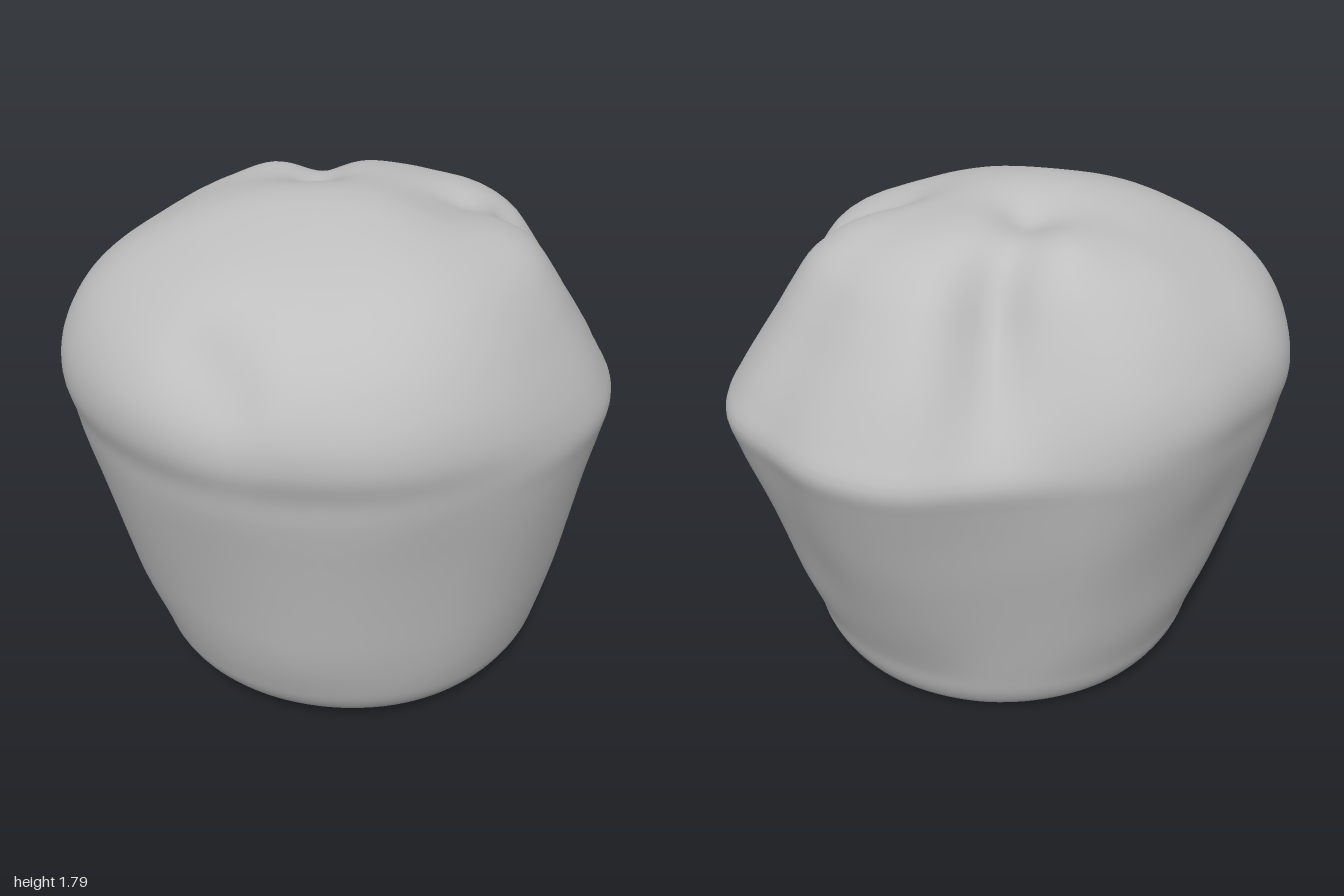
import * as THREE from 'three';
import { mergeVertices } from 'three/addons/utils/BufferGeometryUtils.js';

const SIDES = 120, RINGS = 76;
const gauss = (d, w) => Math.exp(-(d * d) / (w * w));

// Values spaced evenly around the axis, +x first, turning towards +z
function around(values) {
  const curve = new THREE.CatmullRomCurve3(
    values.map((v) => new THREE.Vector3(v, 0, 0)), true, 'catmullrom', 0.5);
  return (t) => curve.getPoint(t % 1).x;
}

// Widest outline, every 15 degrees
const rimRadius = around([
  0.99, 1.015, 0.985, 0.935, 0.94, 0.945, 0.94, 0.945, 0.955, 0.975, 0.985, 1.0,
  1.0, 1.005, 1.01, 1.005, 0.995, 0.955, 0.945, 0.93, 0.89, 0.91, 0.99, 1.01]);
// Foot radius and fullness of the crown, every 45 degrees
const footRadius = around([0.71, 0.76, 0.77, 0.81, 0.81, 0.76, 0.72, 0.69]);
const fullness = around([-0.08, -0.1, -0.03, 0.07, 0.075, 0.07, 0.045, -0.07]);

const FOOT = [[0, 0.02], [0.35, 0.015], [0.65, 0.005], [0.8, 0.005], [0.9, 0.035], [0.96, 0.1], [1, 0.2]];
const WALL = [[0.26, 0.4], [0.48, 0.6], [0.7, 0.8], [0.92, 1.0], [1, 1.1]];
const CROWN = [[0.99, 1.2], [0.955, 1.3], [0.9, 1.4], [0.83, 1.5], [0.72, 1.61],
  [0.53, 1.705], [0.3, 1.755], [0.12, 1.765], [0, 1.765]];

// Swellings of the crown: x, z, height, width
const LOBES = [
  [-0.2, -0.05, 0.025, 0.3], [0.22, -0.48, 0.045, 0.2], [0.2, 0.55, 0.01, 0.18],
  [0.2, 0.34, -0.045, 0.2], [0.75, -0.4, 0.02, 0.2], [-0.5, 0.35, -0.01, 0.2],
  [-0.85, 0.2, -0.015, 0.15], [0.05, -0.2, -0.03, 0.14], [-0.35, -0.65, -0.015, 0.2]];
// Folds of the crown: start x, z, end x, z, depth, width
const FOLDS = [
  [0.12, -0.28, 0.42, -0.46, 0.05, 0.11], [0.42, -0.46, 0.58, -0.62, 0.045, 0.12],
  [0.46, 0.4, 0.56, 0.54, 0.035, 0.07], [0.3, 0.3, 0.46, 0.4, 0.02, 0.09],
  [-0.9, 0.12, -0.92, 0.32, 0.02, 0.07]];

function foldDistance(x, z, [ax, az, bx, bz]) {
  const dx = bx - ax, dz = bz - az;
  const t = THREE.MathUtils.clamp(((x - ax) * dx + (z - az) * dz) / (dx * dx + dz * dz), 0, 1);
  return Math.hypot(x - ax - dx * t, z - az - dz * t);
}

// Push a point in or out to form the lobes, folds and uneven walls
function sculpt(p) {
  const crown = THREE.MathUtils.smoothstep(p.y, 1.08, 1.4);
  const wall = THREE.MathUtils.smoothstep(p.y, 0.1, 0.4) * (1 - THREE.MathUtils.smoothstep(p.y, 0.8, 1.1));
  let push = 0;
  for (const [x, z, h, w] of LOBES) push += crown * h * gauss(Math.hypot(p.x - x, p.z - z), w);
  for (const f of FOLDS) push -= crown * f[4] * gauss(foldDistance(p.x, p.z, f), f[5]);
  push += 0.006 * crown * Math.sin(9 * p.x + 2) * Math.sin(8 * p.z + 4 * p.y);
  push += 0.006 * wall * Math.sin(7 * p.x + 3 * p.y) * Math.sin(6 * p.z - 4 * p.y);
  const out = new THREE.Vector3(p.x, Math.max(p.y - 0.9, 0), p.z);
  if (out.lengthSq() > 1e-6) p.addScaledVector(out.normalize(), push);
  // The underside leans slightly
  p.y += Math.max(0.02 - 0.045 * p.x, 0) * (1 - THREE.MathUtils.smoothstep(p.y, 0.05, 0.45));
  return p;
}

// Profile from the centre of the underside to the top of the crown
function profileAt(t) {
  const rim = rimRadius(t), foot = footRadius(t), full = fullness(t);
  const swell = (y) => full * Math.sin(Math.PI * THREE.MathUtils.clamp((y - 1.1) / 0.665, 0, 1));
  const points = [
    ...FOOT.map(([k, y]) => [foot * k, y]),
    ...WALL.map(([k, y]) => [foot + (rim - foot) * k, y]),
    ...CROWN.map(([k, y]) => [rim * (k + swell(y)), y]),
  ];
  return new THREE.CatmullRomCurve3(points.map(([r, y]) => new THREE.Vector3(r, y, 0)), false, 'centripetal');
}

function muffinGeometry() {
  const positions = [], index = [];
  for (let j = 0; j < SIDES; j++) {
    const a = (j / SIDES) * Math.PI * 2;
    const profile = profileAt(j / SIDES);
    for (let i = 0; i <= RINGS; i++) {
      const q = profile.getPoint(i / RINGS);
      const r = i === 0 || i === RINGS ? 0 : Math.max(q.x, 0);
      const p = sculpt(new THREE.Vector3(r * Math.cos(a), q.y, r * Math.sin(a)));
      positions.push(p.x, p.y, p.z);
    }
  }
  const at = (i, j) => (j % SIDES) * (RINGS + 1) + i;
  for (let j = 0; j < SIDES; j++) {
    for (let i = 0; i < RINGS; i++) {
      if (i > 0) index.push(at(i, j), at(i + 1, j), at(i, j + 1));
      if (i < RINGS - 1) index.push(at(i + 1, j), at(i + 1, j + 1), at(i, j + 1));
    }
  }
  const loft = new THREE.BufferGeometry();
  loft.setAttribute('position', new THREE.Float32BufferAttribute(positions, 3));
  loft.setIndex(index);
  // Join the points at both poles so the shading stays smooth
  const geometry = mergeVertices(loft, 1e-5);
  geometry.computeVertexNormals();
  return geometry;
}

export function createModel() {
  const grey = new THREE.MeshStandardMaterial({ color: 0xbfbfbf });
  grey.name = 'plain grey';
  const muffin = new THREE.Mesh(muffinGeometry(), grey);
  muffin.name = 'muffin';
  const group = new THREE.Group();
  group.name = 'muffinModel';
  group.add(muffin);
  return group;
}
